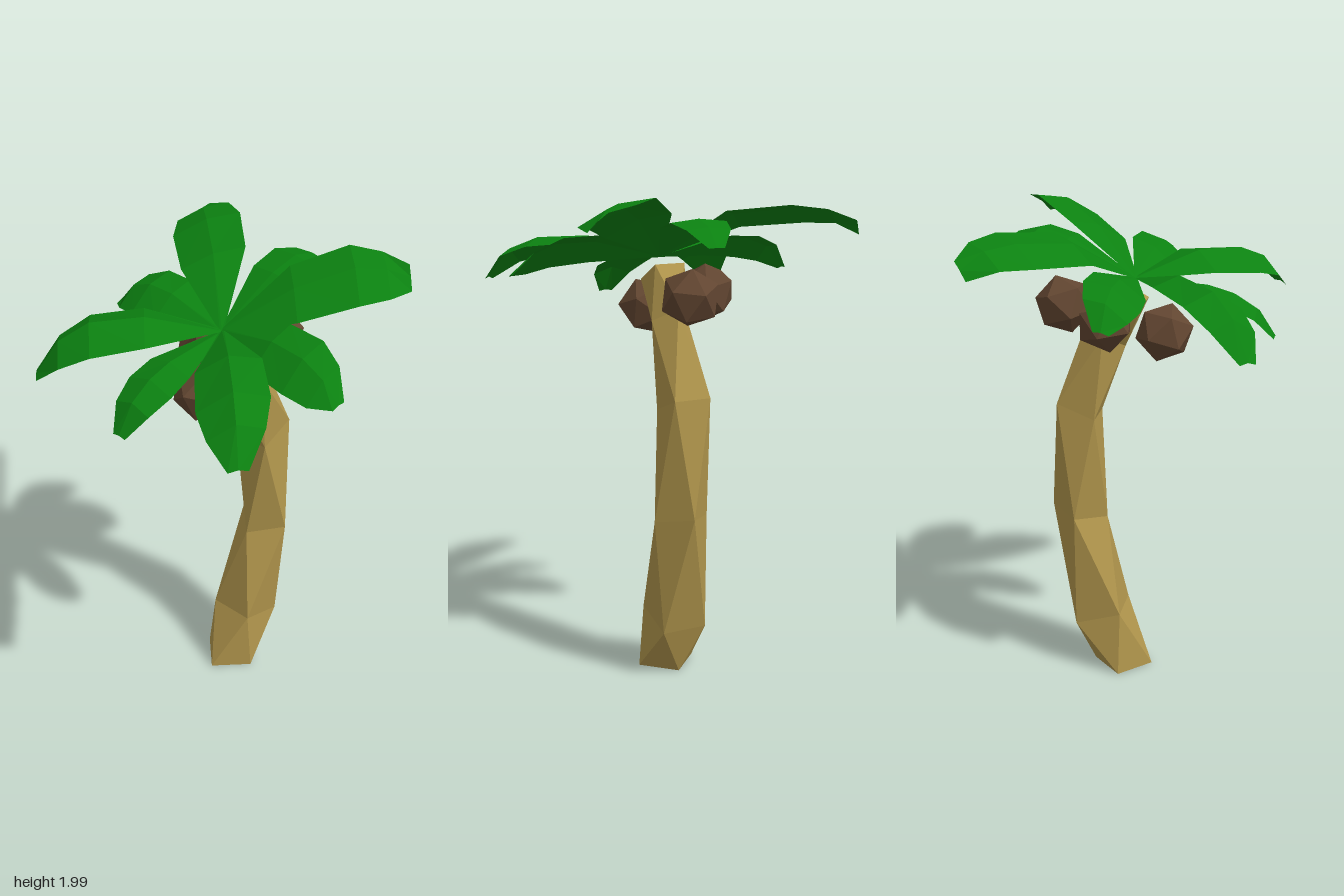
import * as THREE from 'three';

const mat = (color, side = THREE.FrontSide) =>
  new THREE.MeshStandardMaterial({ color, side, flatShading: true, roughness: 1 });

const BARK = mat(0xb0954c);
const LEAF = mat(0x0c8211, THREE.DoubleSide);
const NUT = mat(0x624631);

// Four-sided trunk: each ring turns 45 degrees against the one below it.
function makeTrunk() {
  // centre x, y, z, radius, forward tilt of the ring
  const rings = [
    [0, 0, -0.055, 0.125, 0],
    [0.008, 0.24, -0.15, 0.135, -0.3],
    [0.028, 0.7, -0.247, 0.118, 0.2],
    [0.015, 1.17, -0.24, 0.11, 0.4],
    [0.02, 1.49, -0.125, 0.078, 0.65],
    [0, 1.67, -0.025, 0.092, 0.55],
  ];
  const geo = new THREE.CylinderGeometry(1, 1, 1, 4, rings.length - 1);
  const pos = geo.attributes.position;
  const v = new THREE.Vector3();
  const up = new THREE.Vector3(0, 1, 0);
  for (let i = 0; i < pos.count; i++) {
    v.fromBufferAttribute(pos, i);
    const k = Math.round((v.y + 0.5) * (rings.length - 1));
    const [cx, cy, cz, r, tilt] = rings[k];
    v.setY(0).multiplyScalar(r).applyAxisAngle(up, -k * Math.PI / 4);
    pos.setXYZ(i, cx + v.x, cy - v.z * tilt, cz + v.z);
  }
  geo.computeVertexNormals();
  const mesh = new THREE.Mesh(geo, BARK);
  mesh.name = 'trunk';
  return mesh;
}

// Broad frond: cross-sections of edge, raised midrib, edge along an arched centre line.
// first: where the blade reaches full width; ridge: rise of the midrib above the edges.
function makeFrond({ name, tip, heights, width, roll, tipRoll, first, ridge }) {
  const along = [0, first, 0.7, 0.87, 1];
  const taper = [0.06, 0.93, 1, 0.78, 0.28];
  const crest = [0, 0.8, 1, 0.8, 0.15];
  const ys = [1.725, ...heights];
  const [tx, tz] = tip;
  const len = Math.hypot(tx, tz);
  const px = tz / len, pz = -tx / len; // sideways direction
  const points = [], index = [];
  along.forEach((f, i) => {
    const slope = i === along.length - 1 ? tipRoll : roll;
    for (const s of [-1, 0, 1]) {
      const w = s * width * taper[i];
      const rise = s === 0 ? ridge * crest[i] : 0;
      points.push(tx * f + px * w, ys[i] + w * slope + rise, tz * f + pz * w);
    }
    if (i === 0) return;
    for (let j = 0; j < 2; j++) {
      const a = (i - 1) * 3 + j, b = a + 3;
      index.push(a, a + 1, b, a + 1, b + 1, b);
    }
  });
  const geo = new THREE.BufferGeometry();
  geo.setAttribute('position', new THREE.Float32BufferAttribute(points, 3));
  geo.setIndex(index);
  geo.computeVertexNormals();
  const mesh = new THREE.Mesh(geo, LEAF);
  mesh.name = name;
  return mesh;
}

export function createModel() {
  const palm = new THREE.Group();
  palm.name = 'palmTree';
  palm.add(makeTrunk());

  // Crown of eight fronds, higher at the back than at the front
  const crown = new THREE.Group();
  crown.name = 'crown';
  const fronds = [
    { name: 'frontFrond', tip: [-0.01, 0.555], heights: [1.685, 1.65, 1.6, 1.515],
      width: 0.108, roll: 0, tipRoll: 0, first: 0.51, ridge: 0.035 },
    { name: 'frontLeftFrond', tip: [0.54, 0.525], heights: [1.755, 1.73, 1.69, 1.605],
      width: 0.132, roll: 0.22, tipRoll: 0.1, first: 0.41, ridge: 0.055 },
    { name: 'frontRightFrond', tip: [-0.51, 0.505], heights: [1.745, 1.715, 1.65, 1.55],
      width: 0.132, roll: -0.15, tipRoll: -0.1, first: 0.41, ridge: 0.06 },
    { name: 'leftFrond', tip: [0.61, 0.065], heights: [1.765, 1.755, 1.72, 1.675],
      width: 0.105, roll: 0.65, tipRoll: 0.2, first: 0.44, ridge: 0.035 },
    { name: 'rightFrond', tip: [-0.56, -0.02], heights: [1.755, 1.745, 1.715, 1.65],
      width: 0.108, roll: -0.5, tipRoll: -0.2, first: 0.48, ridge: 0.035 },
    { name: 'backFrond', tip: [0.05, -0.56], heights: [1.865, 1.895, 1.875, 1.815],
      width: 0.113, roll: 0, tipRoll: 0, first: 0.48, ridge: 0.012 },
    { name: 'backLeftFrond', tip: [0.495, -0.51], heights: [1.87, 1.94, 1.935, 1.92],
      width: 0.143, roll: 0.38, tipRoll: 0.9, first: 0.38, ridge: 0.03 },
    { name: 'backRightFrond', tip: [-0.585, -0.525], heights: [1.88, 1.905, 1.9, 1.86],
      width: 0.137, roll: -0.33, tipRoll: -0.8, first: 0.38, ridge: 0.025 },
  ];
  fronds.forEach((f) => crown.add(makeFrond(f)));
  palm.add(crown);

  // Coconuts around the top of the trunk
  const nutGeo = new THREE.IcosahedronGeometry(0.12, 0);
  const nuts = [
    [0, 1.51, 0.115, 0.3],
    [-0.165, 1.585, -0.09, 1.2],
    [0.02, 1.6, -0.3, 2.1],
  ];
  nuts.forEach(([x, y, z, turn], i) => {
    const nut = new THREE.Mesh(nutGeo, NUT);
    nut.name = 'coconut' + (i + 1);
    nut.position.set(x, y, z);
    nut.rotation.set(turn, turn * 0.7, 0.2);
    palm.add(nut);
  });
  return palm;
}
